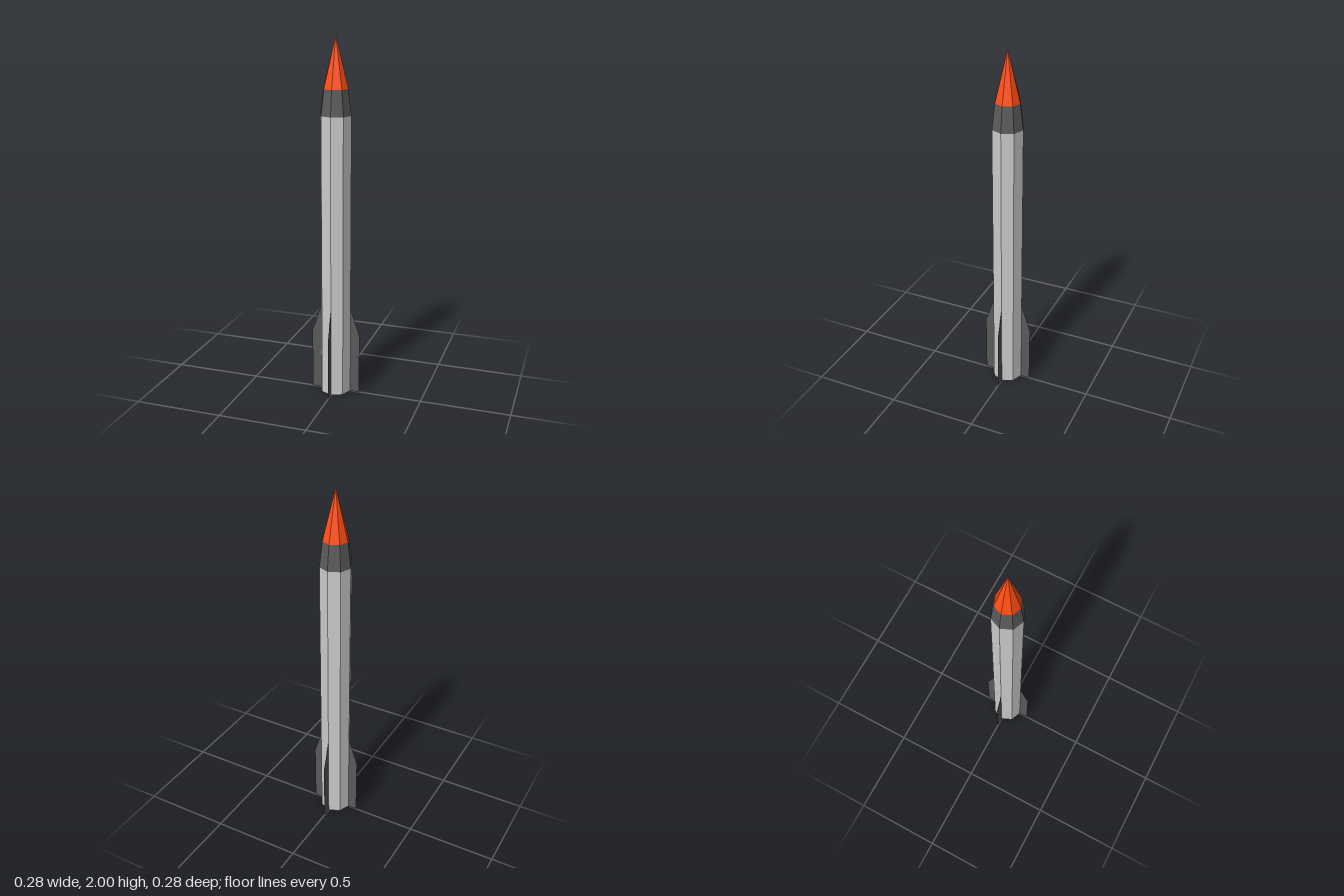
import * as THREE from 'three';

const SIDES = 8;
const BODY_R = 0.087;

function material(color, side = THREE.FrontSide) {
  return new THREE.MeshStandardMaterial({ color, flatShading: true, side });
}

// Eight-sided section standing between two heights
function section(name, rTop, rBottom, y0, y1, mat, open) {
  const geometry = new THREE.CylinderGeometry(rTop, rBottom, y1 - y0, SIDES, 1, open);
  const mesh = new THREE.Mesh(geometry, mat);
  mesh.name = name;
  mesh.position.y = (y0 + y1) / 2;
  return mesh;
}

export function createModel() {
  const model = new THREE.Group();
  model.name = 'rocket';

  const grey = material(0xcccccc);
  const dark = material(0x5a5a5a);
  const orange = material(0xff4d12);
  const finMaterial = material(0x5a5a5a, THREE.DoubleSide);

  // Body, tapered collar and pointed nose
  model.add(section('body', BODY_R, BODY_R, 0, 1.585, grey, false));
  model.add(section('collar', 0.07, BODY_R, 1.585, 1.725, dark, true));
  const nose = new THREE.Mesh(new THREE.ConeGeometry(0.07, 0.275, SIDES, 1, true), orange);
  nose.name = 'noseCone';
  nose.position.y = 1.8625;
  model.add(nose);

  // Four paper-thin fins on the body's edges
  const outline = new THREE.Shape([
    new THREE.Vector2(BODY_R, 0),
    new THREE.Vector2(0.14, 0),
    new THREE.Vector2(0.14, 0.345),
    new THREE.Vector2(BODY_R, 0.505),
  ]);
  const finGeometry = new THREE.ShapeGeometry(outline);
  ['leftFin', 'backFin', 'rightFin', 'frontFin'].forEach((name, i) => {
    const fin = new THREE.Mesh(finGeometry, finMaterial);
    fin.name = name;
    fin.rotation.y = (i * Math.PI) / 2;
    model.add(fin);
  });

  return model;
}
